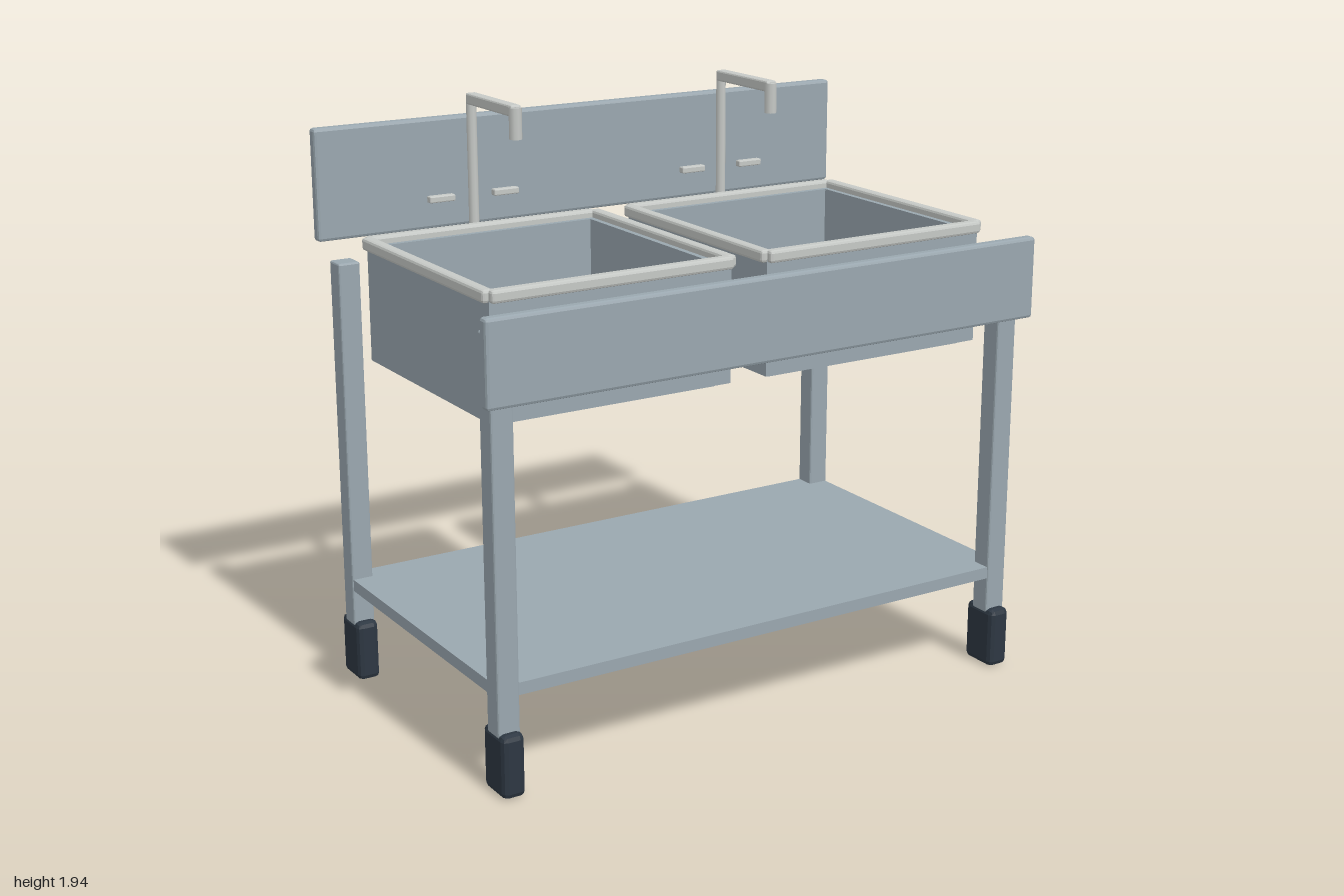
import * as THREE from 'three';
import { RoundedBoxGeometry } from 'three/addons/geometries/RoundedBoxGeometry.js';

export function createModel() {
  const model = new THREE.Group();
  model.name = 'doubleSinkStand';

  const material = (name, color) => {
    const m = new THREE.MeshStandardMaterial({ color });
    m.name = name;
    return m;
  };
  const steel = material('steel', 0x9aa7af);
  const chrome = material('paleMetal', 0xc6c9c6);
  const dark = material('darkRubber', 0x2d3742);

  const add = (parent, name, geometry, mat, x, y, z) => {
    const mesh = new THREE.Mesh(geometry, mat);
    mesh.name = name;
    mesh.position.set(x, y, z);
    parent.add(mesh);
    return mesh;
  };
  // Box given by its limits, with small flat-shaded chamfers
  const block = (parent, name, mat, [x0, x1], [y0, y1], [z0, z1], bevel = 0.01) => {
    const size = [x1 - x0, y1 - y0, z1 - z0];
    const geometry = bevel
      ? new RoundedBoxGeometry(...size, 1, bevel)
      : new THREE.BoxGeometry(...size);
    if (bevel) geometry.computeVertexNormals();
    return add(parent, name, geometry, mat, (x0 + x1) / 2, (y0 + y1) / 2, (z0 + z1) / 2);
  };
  const around = (c, half) => [c - half, c + half];

  // Upright panels and lower shelf
  block(model, 'backsplash', steel, [-1, 1], [1.49, 1.855], [-0.598, -0.556]);
  block(model, 'frontApron', steel, [-1, 1], [1.22, 1.49], [0.554, 0.595]);
  block(model, 'shelf', steel, [-0.964, 0.964], [0.315, 0.355], [-0.548, 0.548], 0);

  // Legs and feet
  for (const sx of [-1, 1]) {
    for (const sz of [-1, 1]) {
      const leg = new THREE.Group();
      leg.name = 'leg';
      model.add(leg);
      const x = 0.931 * sx, z = 0.516 * sz;
      block(leg, 'legPost', steel, around(x, 0.037), [0.19, 1.43], around(z, 0.036), 0.006);
      block(leg, 'foot', dark, around(x, 0.038), [0, 0.205], around(z, 0.067), 0.018);
    }
  }

  // One basin: four walls, floor, raised rim and drain
  const buildBasin = (cx) => {
    const basin = new THREE.Group();
    basin.name = 'basin';
    basin.position.set(cx, 0, 0.006);
    model.add(basin);
    const outer = 0.416, inner = 0.377;
    const wallY = [1.12, 1.5], rimY = [1.485, 1.525];
    for (const s of [-1, 1]) {
      const wall = [inner * s, outer * s].sort((a, b) => a - b);
      block(basin, 'sideWall', steel, wall, wallY, [-outer, outer], 0);
      block(basin, 'endWall', steel, [-inner, inner], wallY, wall, 0);
      block(basin, 'sideRim', chrome, around(outer * s, 0.02), rimY, [-outer, outer], 0.009);
      block(basin, 'endRim', chrome, [-outer, outer], rimY, around(outer * s, 0.02), 0.009);
    }
    block(basin, 'basinFloor', steel, around(0, 0.382), [1.105, 1.14], around(0, 0.376), 0);
    add(basin, 'drain', new THREE.CylinderGeometry(0.042, 0.042, 0.012, 16), dark, 0, 1.144, -0.004);
  };

  // One tap: post, arm, spout and two handles
  const buildTap = (cx) => {
    const tap = new THREE.Group();
    tap.name = 'tap';
    tap.position.x = cx;
    model.add(tap);
    add(tap, 'tapPost', new THREE.CylinderGeometry(0.017, 0.017, 0.41, 10), chrome, 0, 1.71, -0.478);
    block(tap, 'tapArm', chrome, around(0, 0.019), [1.903, 1.94], [-0.482, -0.17], 0.006);
    add(tap, 'spout', new THREE.CylinderGeometry(0.021, 0.021, 0.1, 10), chrome, 0, 1.882, -0.176);
    for (const s of [-1, 1]) {
      block(tap, 'tapHandle', chrome, around(0.117 * s, 0.046), [1.594, 1.616], around(-0.478, 0.013), 0.004);
    }
  };

  for (const s of [-1, 1]) {
    buildBasin(0.482 * s);
    buildTap(0.483 * s);
  }
  return model;
}
